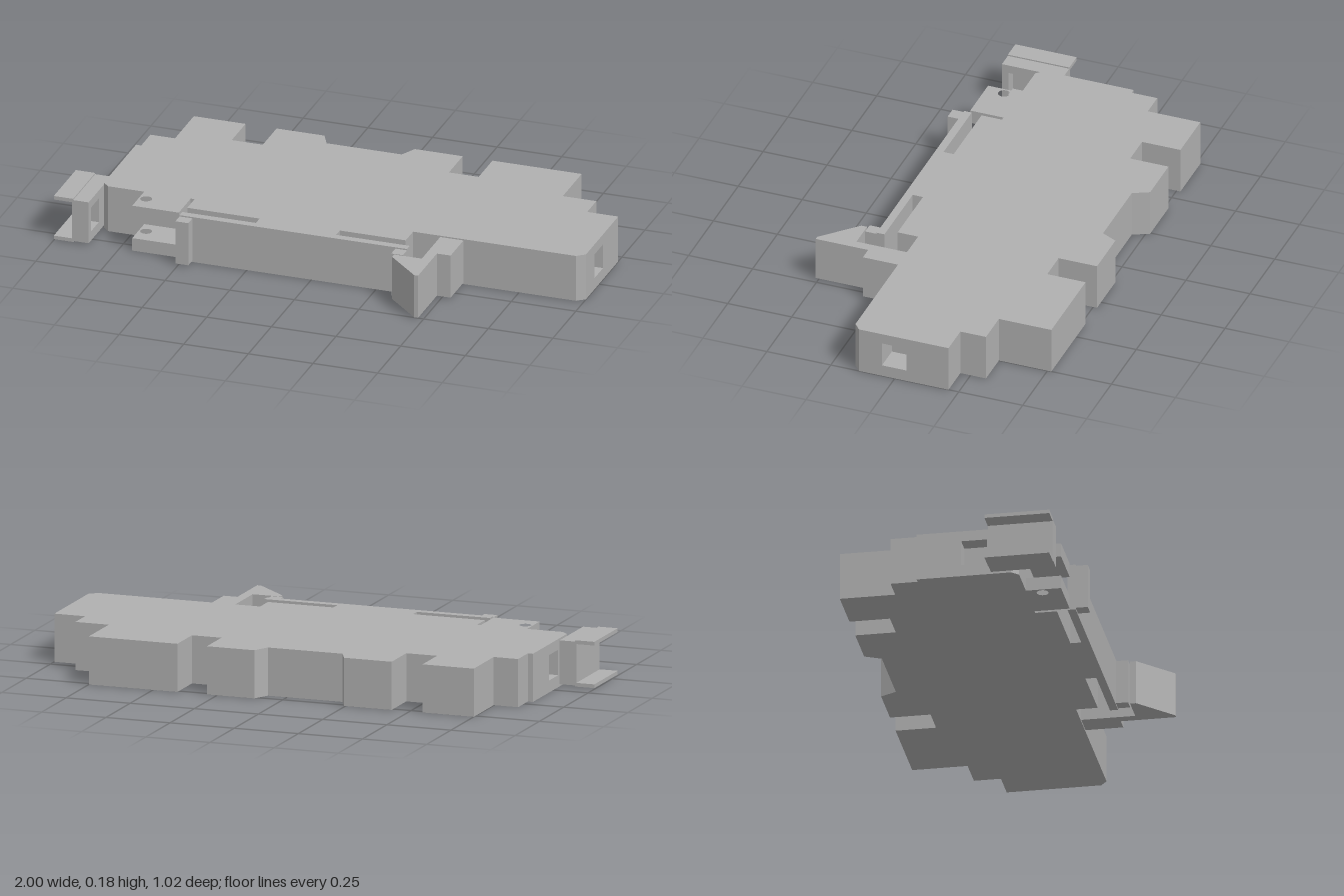
import * as THREE from 'three';

export function createModel() {
  const model = new THREE.Group();
  const grey = new THREE.MeshStandardMaterial({ color: 0xb0b0b0 });
  grey.name = 'housing grey';

  // Plate with an outline of [x, z] corners, standing between heights y0 and y1
  function plate(name, outline, y0, y1, hole) {
    const shape = new THREE.Shape(outline.map(([x, z]) => new THREE.Vector2(x, -z)));
    if (hole) {
      const path = new THREE.Path();
      path.absarc(hole.x, -hole.z, hole.r, 0, Math.PI * 2, true);
      shape.holes.push(path);
    }
    const geometry = new THREE.ExtrudeGeometry(shape, { depth: y1 - y0, bevelEnabled: false, curveSegments: 12 });
    geometry.rotateX(-Math.PI / 2);
    geometry.translate(0, y0, 0);
    const mesh = new THREE.Mesh(geometry, grey);
    mesh.name = name;
    model.add(mesh);
  }
  const rect = (x0, x1, z0, z1) => [[x0, z0], [x1, z0], [x1, z1], [x0, z1]];

  // Housing outline; the middle layer also has a square pocket in each end
  const backEdge = [
    [1, -0.21], [0.88, -0.21], [0.88, -0.31], [0.75, -0.31], [0.75, -0.515],
    [0.405, -0.515], [0.405, -0.365], [0.29, -0.365], [0.29, -0.515],
    [0.105, -0.515], [0.075, -0.455], [-0.215, -0.455], [-0.245, -0.515],
    [-0.43, -0.515], [-0.43, -0.365], [-0.55, -0.365], [-0.55, -0.515],
    [-0.75, -0.515], [-0.75, -0.31], [-0.845, -0.31], [-0.845, -0.21], [-0.865, -0.21],
  ];
  // Front edge with the sprung foot rail and its two slots
  const frontEdge = [
    [-0.865, 0.14], [-0.84, 0.165], [-0.505, 0.165], [-0.505, 0.245],
    [-0.225, 0.245], [-0.225, 0.285], [-0.51, 0.285], [-0.51, 0.315],
    [0.37, 0.315], [0.37, 0.285], [0.085, 0.285], [0.085, 0.245],
    [0.34, 0.245], [0.34, 0.165], [0.97, 0.165], [1, 0.14],
  ];
  const leftPocket = [[1, 0.05], [0.9, 0.05], [0.9, -0.045], [1, -0.045]];
  const rightPocket = [[-0.865, -0.045], [-0.8, -0.045], [-0.8, 0.05], [-0.865, 0.05]];
  plate('housingBottom', [...frontEdge, ...backEdge], 0, 0.045);
  plate('housingMiddle', [...frontEdge, ...leftPocket, ...backEdge, ...rightPocket], 0.045, 0.14);
  plate('housingTop', [...frontEdge, ...backEdge], 0.14, 0.18);

  // Small stop feet under the rail
  plate('stopFootRight', rect(-0.51, -0.46, 0.31, 0.36), 0.006, 0.175);
  plate('stopFootLeft', rect(0.325, 0.37, 0.31, 0.36), 0.006, 0.175);

  // Latch hook
  plate('latchHook', [
    [0.445, 0.16], [0.535, 0.16], [0.535, 0.305], [0.482, 0.305], [0.482, 0.51],
    [0.467, 0.51], [0.338, 0.387], [0.338, 0.365], [0.445, 0.365],
  ], 0.006, 0.175);

  // Pair of drilled lugs
  for (const [name, y0, y1] of [['lowerLug', 0, 0.05], ['upperLug', 0.127, 0.18]]) {
    plate(name, rect(-0.7, -0.52, 0.16, 0.295), y0, y1, { x: -0.672, z: 0.222, r: 0.022 });
  }

  // End clip: a web with a square pocket, and two flanges pointing outwards
  const web = rect(-0.93, -0.865, 0.065, 0.305);
  const pocketedWeb = [
    [-0.93, 0.065], [-0.865, 0.065], [-0.865, 0.195], [-0.91, 0.195],
    [-0.91, 0.28], [-0.865, 0.28], [-0.865, 0.305], [-0.93, 0.305],
  ];
  plate('clipWebBottom', web, 0.008, 0.045);
  plate('clipWebMiddle', pocketedWeb, 0.045, 0.14);
  plate('clipWebTop', web, 0.14, 0.172);
  plate('clipLowerFlange', rect(-1, -0.925, 0.065, 0.305), 0.004, 0.018);
  plate('clipUpperFlange', rect(-1, -0.925, 0.065, 0.305), 0.163, 0.177);

  return model;
}
